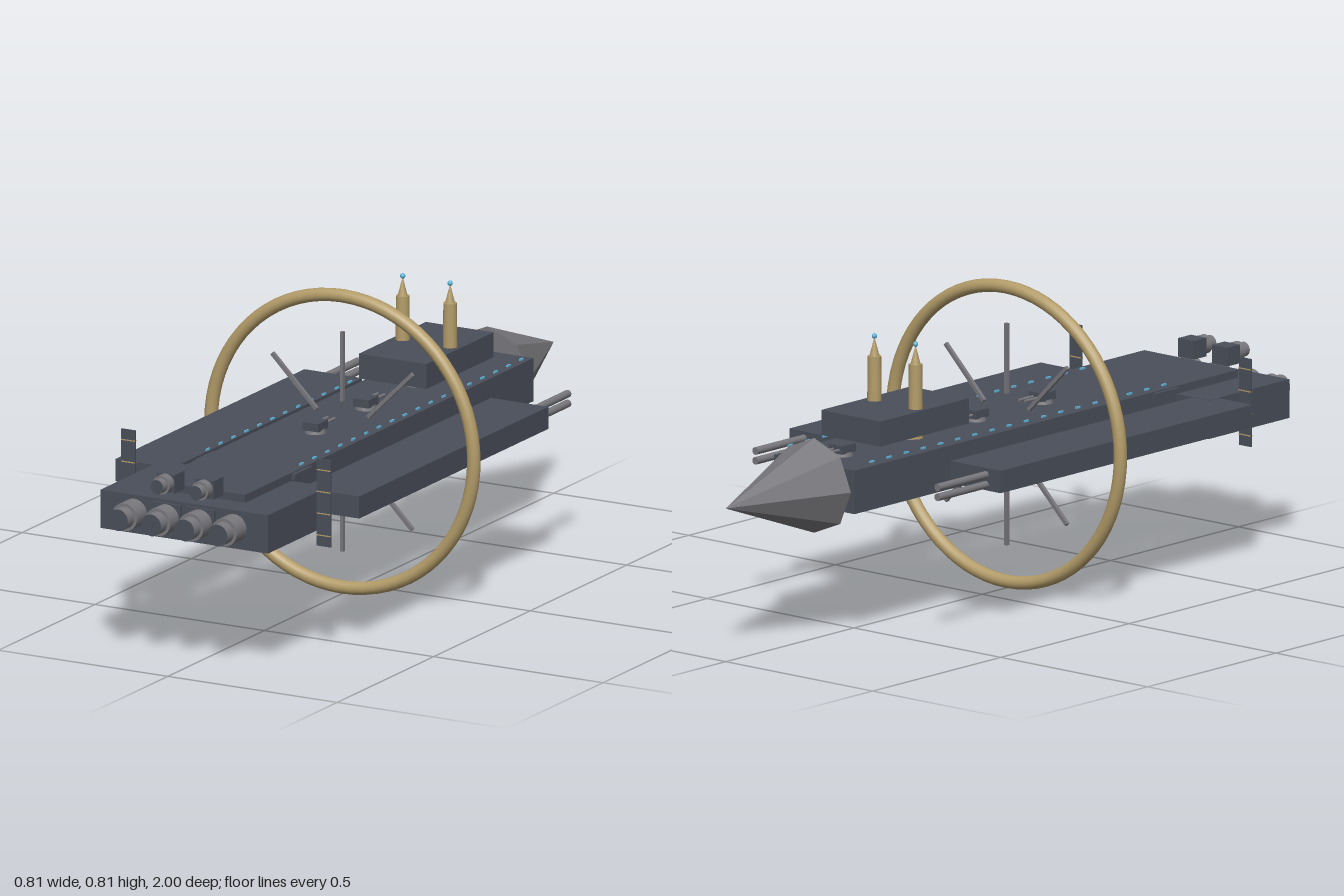
import * as THREE from 'three';

const mat = (name, color, extra = {}) => {
  const m = new THREE.MeshStandardMaterial({ color, ...extra });
  m.name = name;
  return m;
};

export function createModel() {
  const hullMat = mat('dark slate', 0x4a4f5a);
  const steel = mat('steel grey', 0x78787d);
  const facetSteel = steel.clone();
  facetSteel.flatShading = true;
  const gold = mat('dull gold', 0xb39c69);
  const blue = mat('light blue', 0x5fb4d8);
  const root = new THREE.Group();

  const add = (name, geo, material, x, y, z, parent = root) => {
    const m = new THREE.Mesh(geo, material);
    m.name = name;
    m.position.set(x, y, z);
    parent.add(m);
    return m;
  };
  // box given by its extents
  const box = (name, material, x0, x1, y0, y1, z0, z1) =>
    add(name, new THREE.BoxGeometry(x1 - x0, y1 - y0, z1 - z0), material,
      (x0 + x1) / 2, (y0 + y1) / 2, (z0 + z1) / 2);
  // cylinder lying along z
  const tube = (name, material, r, x, y, z0, z1, sides = 16) =>
    add(name, new THREE.CylinderGeometry(r, r, z1 - z0, sides).rotateX(Math.PI / 2),
      material, x, y, (z0 + z1) / 2);

  // hull, engine block and raised deck
  box('mainHull', hullMat, -0.137, 0.137, 0.353, 0.468, -0.655, 0.84);
  box('engineBlock', hullMat, -0.247, 0.247, 0.345, 0.447, 0.6, 0.915);
  box('raisedDeck', hullMat, -0.1, 0.1, 0.5, 0.566, -0.513, -0.165);

  // eight-sided nose cone
  add('noseCone', new THREE.ConeGeometry(0.125, 0.345, 8).rotateX(-Math.PI / 2),
    facetSteel, 0, 0.408, -0.8275);

  // ring with its radial spokes
  add('ring', new THREE.TorusGeometry(0.388, 0.0175, 14, 72), gold, 0, 0.41, 0.095);
  for (let i = 0; i < 8; i++) {
    const a = i * Math.PI / 4;
    const s = add('ringSpoke', new THREE.BoxGeometry(0.01, 0.185, 0.01), steel,
      Math.sin(a) * 0.2, 0.41 + Math.cos(a) * 0.2, 0.095);
    s.rotation.z = -a;
  }

  for (const s of [-1, 1]) {
    const sideBox = (name, material, x0, x1, ...rest) =>
      box(name, material, Math.min(s * x0, s * x1), Math.max(s * x0, s * x1), ...rest);

    // side pods with twin barrels
    sideBox('sidePod', hullMat, 0.19, 0.36, 0.387, 0.446, -0.34, 0.64);
    for (const y of [0.402, 0.428]) tube('podBarrel', steel, 0.01, s * 0.31, y, -0.53, -0.155, 12);

    // upright panels with gold bands
    sideBox('panel', hullMat, 0.268, 0.309, 0.317, 0.548, 0.694, 0.699);
    for (const y of [0.346, 0.404, 0.462, 0.52])
      sideBox('panelBand', gold, 0.268, 0.309, y - 0.0015, y + 0.0015, 0.693, 0.7);

    // towers with pointed caps and beacons
    add('tower', new THREE.CylinderGeometry(0.0175, 0.0195, 0.195, 16), gold, s * 0.07, 0.5855, -0.34);
    add('towerCap', new THREE.ConeGeometry(0.013, 0.05, 16), gold, s * 0.07, 0.708, -0.34);
    add('beacon', new THREE.SphereGeometry(0.007, 12, 8), blue, s * 0.07, 0.735, -0.34);

    // main engines
    for (const x of [0.049, 0.147]) {
      tube('engineNozzle', steel, 0.037, s * x, 0.4, 0.915, 0.967, 24);
      const tip = tube('engineTip', steel, 0.029, s * x, 0.4, 0.967, 1.0, 24);
      tip.material = [steel, hullMat, hullMat];
    }
    sideBox('enginePlate', hullMat, 0.007, 0.092, 0.36, 0.439, 0.915, 0.921);

    // upper thrusters
    sideBox('thrusterHousing', hullMat, 0.031, 0.084, 0.465, 0.514, 0.86, 0.91);
    tube('thrusterNozzle', steel, 0.025, s * 0.057, 0.49, 0.91, 0.935, 20);
    const tip = tube('thrusterTip', steel, 0.019, s * 0.057, 0.49, 0.935, 0.957, 20);
    tip.material = [steel, hullMat, hullMat];

    // small blocks and lights along the deck edge
    sideBox('edgeBlock', hullMat, 0.137, 0.147, 0.45, 0.465, 0.51, 0.6);
    for (let i = 0; i < 18; i++) {
      const z = 0.55 - i * 0.067;
      sideBox('deckLight', blue, 0.136, 0.141, 0.478, 0.483, z - 0.008, z + 0.008);
    }
  }

  // deck turrets, each with two barrels
  for (let i = 0; i < 4; i++) {
    const z = 0.235 - i * 0.26;
    add('turretBase', new THREE.CylinderGeometry(0.025, 0.028, 0.012, 16), steel, 0, 0.473, z);
    box('turret', hullMat, -0.023, 0.023, 0.477, 0.499, z - 0.026, z + 0.026);
    for (const x of [-0.01, 0.01]) tube('turretBarrel', steel, 0.004, x, 0.487, z - 0.08, z - 0.02, 8);
  }
  return root;
}
